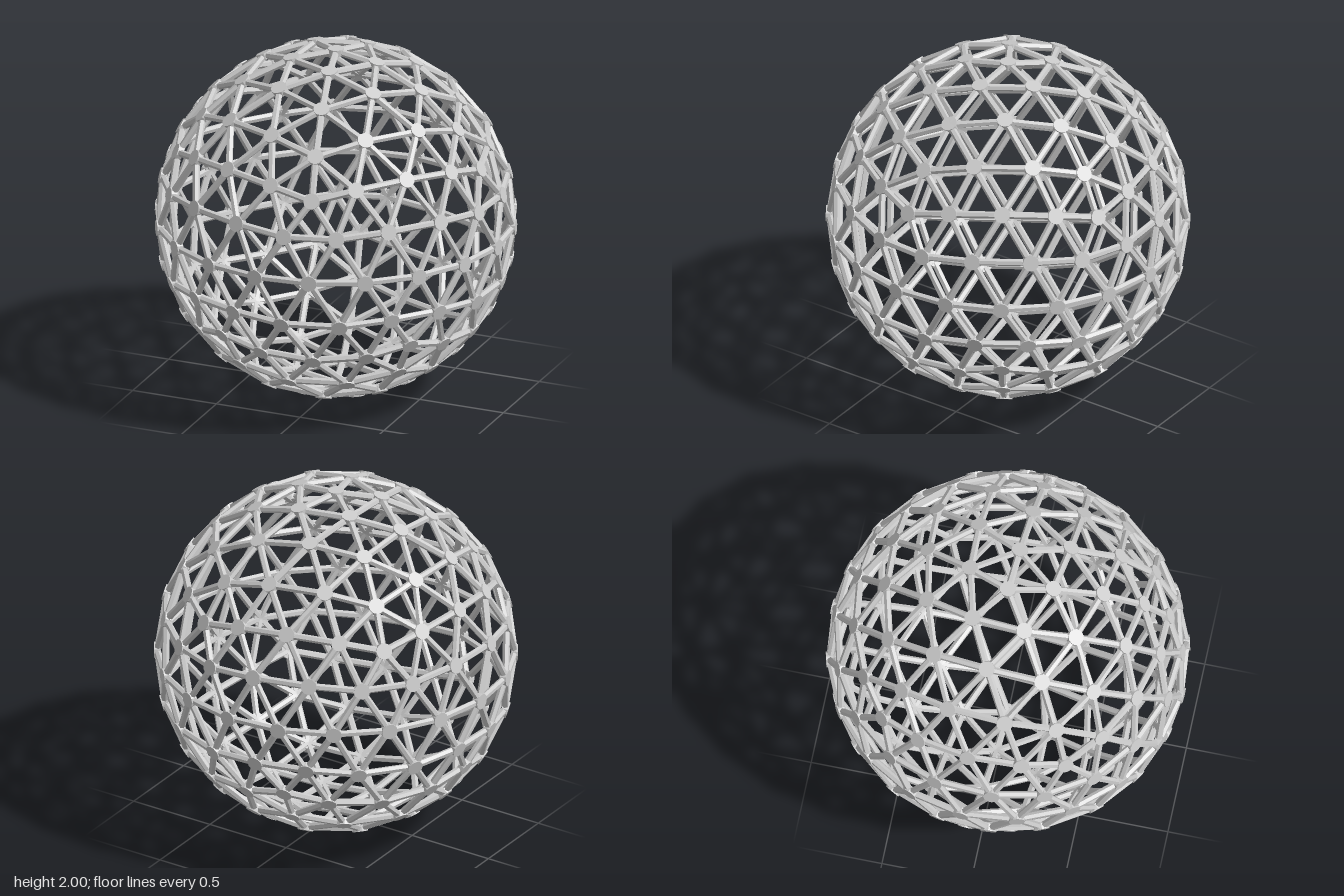
import * as THREE from 'three';
import { mergeGeometries, mergeVertices } from 'three/addons/utils/BufferGeometryUtils.js';

const R = 0.982;            // radius of the strut centre lines
const STRUT = 0.02;         // strut radius
const HUB = 0.045;          // hub plate radius

// Frequency-4 geodesic sphere with a five-way hub at each pole
function geodesic() {
  let g = new THREE.IcosahedronGeometry(R, 3);
  g.deleteAttribute('normal');
  g.deleteAttribute('uv');
  g = mergeVertices(g, 1e-3);
  g.rotateX(-Math.atan((1 + Math.sqrt(5)) / 2));
  g.rotateY(THREE.MathUtils.degToRad(14.5));
  return g;
}

export function createModel() {
  const group = new THREE.Group();
  group.name = 'geodesicSphere';
  const material = new THREE.MeshStandardMaterial({ color: 0xcccccc, flatShading: true });

  const net = geodesic();
  const pos = net.attributes.position, index = net.index;
  const nodes = [];
  for (let i = 0; i < pos.count; i++) nodes.push(new THREE.Vector3().fromBufferAttribute(pos, i));

  // Place a y-aligned geometry at a point, with its y and z axes given
  const place = (geometry, at, yAxis, zAxis) => {
    const xAxis = new THREE.Vector3().crossVectors(yAxis, zAxis).normalize();
    const z = new THREE.Vector3().crossVectors(xAxis, yAxis).normalize();
    return geometry.applyMatrix4(new THREE.Matrix4().makeBasis(xAxis, yAxis, z).setPosition(at));
  };

  // Hexagonal struts, one per edge, with a flat side facing outwards
  const struts = [], seen = new Set();
  for (let f = 0; f < index.count; f += 3) {
    for (let k = 0; k < 3; k++) {
      const a = index.getX(f + k), b = index.getX(f + (k + 1) % 3);
      const key = Math.min(a, b) + '-' + Math.max(a, b);
      if (seen.has(key)) continue;
      seen.add(key);
      const mid = nodes[a].clone().add(nodes[b]).multiplyScalar(0.5);
      const along = nodes[b].clone().sub(nodes[a]);
      const length = along.length();
      const bar = new THREE.CylinderGeometry(STRUT, STRUT, length, 6).rotateY(Math.PI / 6);
      struts.push(place(bar, mid, along.normalize(), mid.clone().normalize()));
    }
  }

  // Flat round hub plates where the struts meet
  const hubs = nodes.map((p) => {
    const out = p.clone().normalize();
    const side = Math.abs(out.y) > 0.9 ? new THREE.Vector3(1, 0, 0) : new THREE.Vector3(0, 1, 0);
    return place(new THREE.CylinderGeometry(HUB, HUB, 0.036, 12), p, out, side);
  });

  for (const [name, parts] of [['struts', struts], ['hubs', hubs]]) {
    const mesh = new THREE.Mesh(mergeGeometries(parts), material);
    mesh.name = name;
    mesh.position.y = 1;
    group.add(mesh);
  }
  return group;
}
